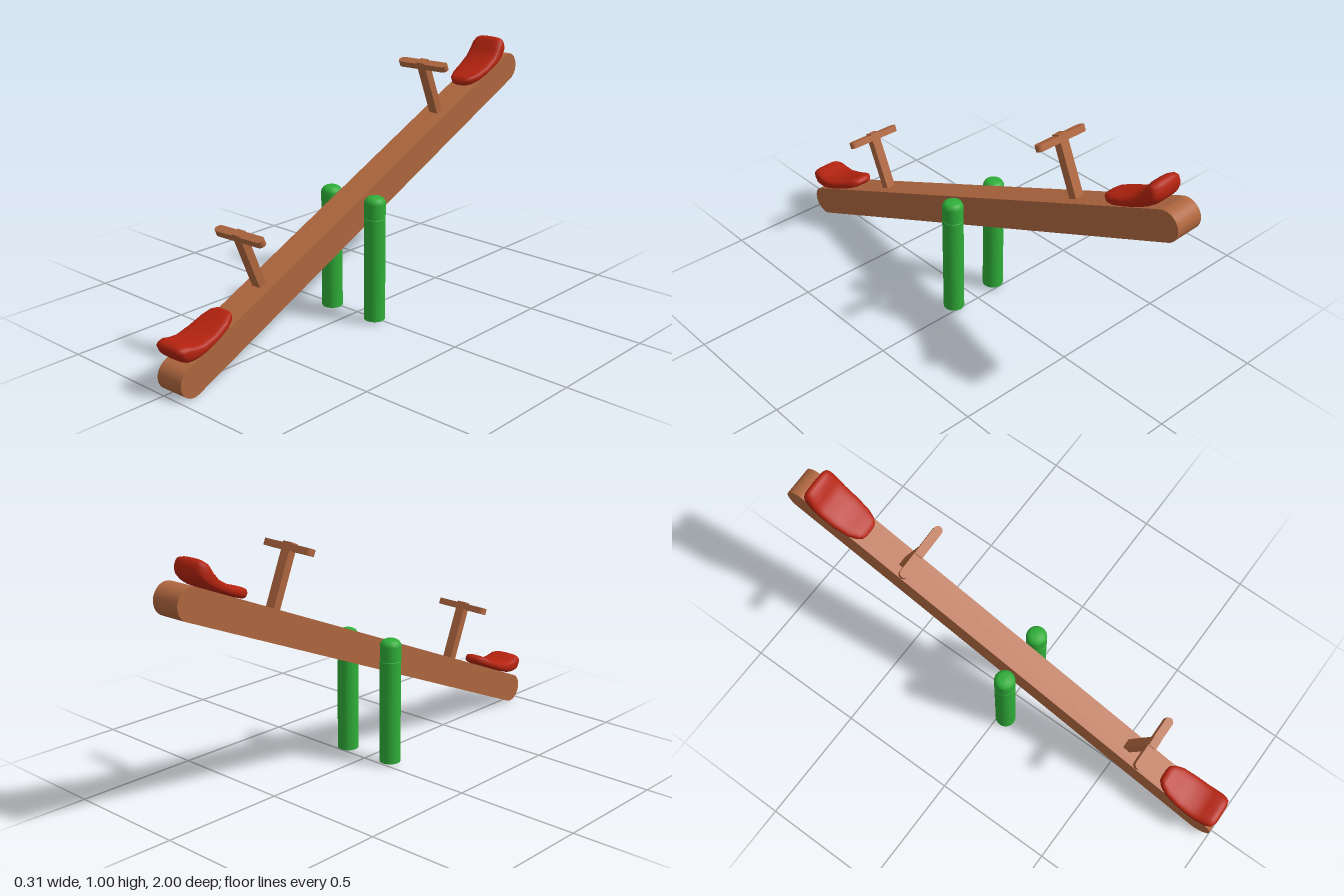
import * as THREE from 'three';

const mat = (name, color) => {
  const m = new THREE.MeshStandardMaterial({ color });
  m.name = name;
  return m;
};
const wood = mat('wood brown', 0xb0673f);
const green = mat('post green', 0x2fae38);
const red = mat('seat red', 0xb4230f);

function part(name, geometry, material, parent) {
  const m = new THREE.Mesh(geometry, material);
  m.name = name;
  parent.add(m);
  return m;
}

// Bar with fully rounded ends: long axis x, extruded along z, centred
function stadium(length, radius, depth) {
  const h = length / 2 - radius;
  const s = new THREE.Shape();
  s.absarc(h, 0, radius, -Math.PI / 2, Math.PI / 2);
  s.absarc(-h, 0, radius, Math.PI / 2, Math.PI * 1.5);
  s.closePath();
  return new THREE.ExtrudeGeometry(s, { depth, bevelEnabled: false, curveSegments: 14 })
    .translate(0, 0, -depth / 2);
}

// Moulded seat: rounded cross-sections lofted along z, with a raised back lip
function seatGeometry() {
  // z, bottom, top, half width
  const stations = [
    [0.752, 0.075, 0.085, 0.02], [0.757, 0.067, 0.097, 0.037], [0.775, 0.062, 0.102, 0.053],
    [0.81, 0.06, 0.099, 0.067], [0.87, 0.06, 0.097, 0.075], [0.93, 0.06, 0.107, 0.077],
    [0.965, 0.062, 0.127, 0.077], [0.99, 0.067, 0.147, 0.075], [1.01, 0.077, 0.151, 0.072],
    [1.022, 0.09, 0.148, 0.066], [1.029, 0.108, 0.14, 0.05],
  ];
  const n = 28, pos = [], idx = [];
  const round = (v) => Math.sign(v) * Math.abs(v) ** 0.6;
  for (const [z, lo, hi, w] of stations) {
    for (let i = 0; i < n; i++) {
      const a = (i / n) * Math.PI * 2;
      pos.push(w * round(Math.cos(a)), (lo + hi) / 2 + ((hi - lo) / 2) * round(Math.sin(a)), z);
    }
  }
  const last = stations.length - 1;
  for (let s = 0; s < last; s++) {
    for (let i = 0; i < n; i++) {
      const a = s * n + i, b = s * n + ((i + 1) % n);
      idx.push(a, b, b + n, a, b + n, a + n);
    }
  }
  // End caps
  const c = pos.length / 3;
  const [f, b] = [stations[0], stations[last]];
  pos.push(0, (f[1] + f[2]) / 2, f[0] - 0.001, 0, (b[1] + b[2]) / 2, b[0] + 0.002);
  for (let i = 0; i < n; i++) {
    const j = (i + 1) % n;
    idx.push(c, j, i, c + 1, last * n + i, last * n + j);
  }
  const g = new THREE.BufferGeometry();
  g.setAttribute('position', new THREE.Float32BufferAttribute(pos, 3));
  g.setIndex(idx);
  g.computeVertexNormals();
  return g;
}

// Round post with a groove under its domed cap; repeated points keep edges sharp
function postGeometry() {
  const r = 0.042;
  const pts = [
    [0, 0.012], [r, 0.012], [r, 0.012], [r, 0.432], [r, 0.432], [r - 0.004, 0.435],
    [r, 0.438], [r, 0.438], [r, 0.495], [r - 0.002, 0.503], [r - 0.008, 0.512],
    [r - 0.018, 0.518], [0, 0.52],
  ];
  return new THREE.LatheGeometry(pts.map(([x, y]) => new THREE.Vector2(x, y)), 32);
}

export function createModel() {
  const model = new THREE.Group();
  model.name = 'seesaw';

  // Slight turn of the whole seesaw
  const base = new THREE.Group();
  base.name = 'base';
  base.rotation.y = 0.034;
  model.add(base);

  // Support posts
  const post = postGeometry();
  for (const side of [-1, 1]) {
    part(side > 0 ? 'leftPost' : 'rightPost', post, green, base)
      .position.set(side * 0.111, 0, 0.026);
  }

  // Tilted plank assembly
  const plank = new THREE.Group();
  plank.name = 'plank';
  plank.position.set(-0.003, 0.459, 0);
  plank.rotation.x = 0.402;
  base.add(plank);
  part('beam', stadium(2.16, 0.06, 0.12).rotateY(-Math.PI / 2), wood, plank);

  // Seat and handle at each end
  const seat = seatGeometry();
  const bar = stadium(0.24, 0.0175, 0.025).rotateX(-Math.PI / 2);
  const stem = new THREE.BoxGeometry(0.04, 0.255, 0.034);
  for (const end of ['front', 'back']) {
    const half = new THREE.Group();
    half.name = end + 'End';
    half.rotation.y = end === 'front' ? 0 : Math.PI;
    plank.add(half);
    part(end + 'Seat', seat, red, half);
    part(end + 'HandleStem', stem, wood, half).position.set(0, 0.1765, 0.573);
    const grip = part(end + 'HandleBar', bar, wood, half);
    grip.position.set(0, 0.286, 0.573);
    grip.rotation.z = end === 'front' ? 0.025 : -0.025;
  }
  return model;
}
